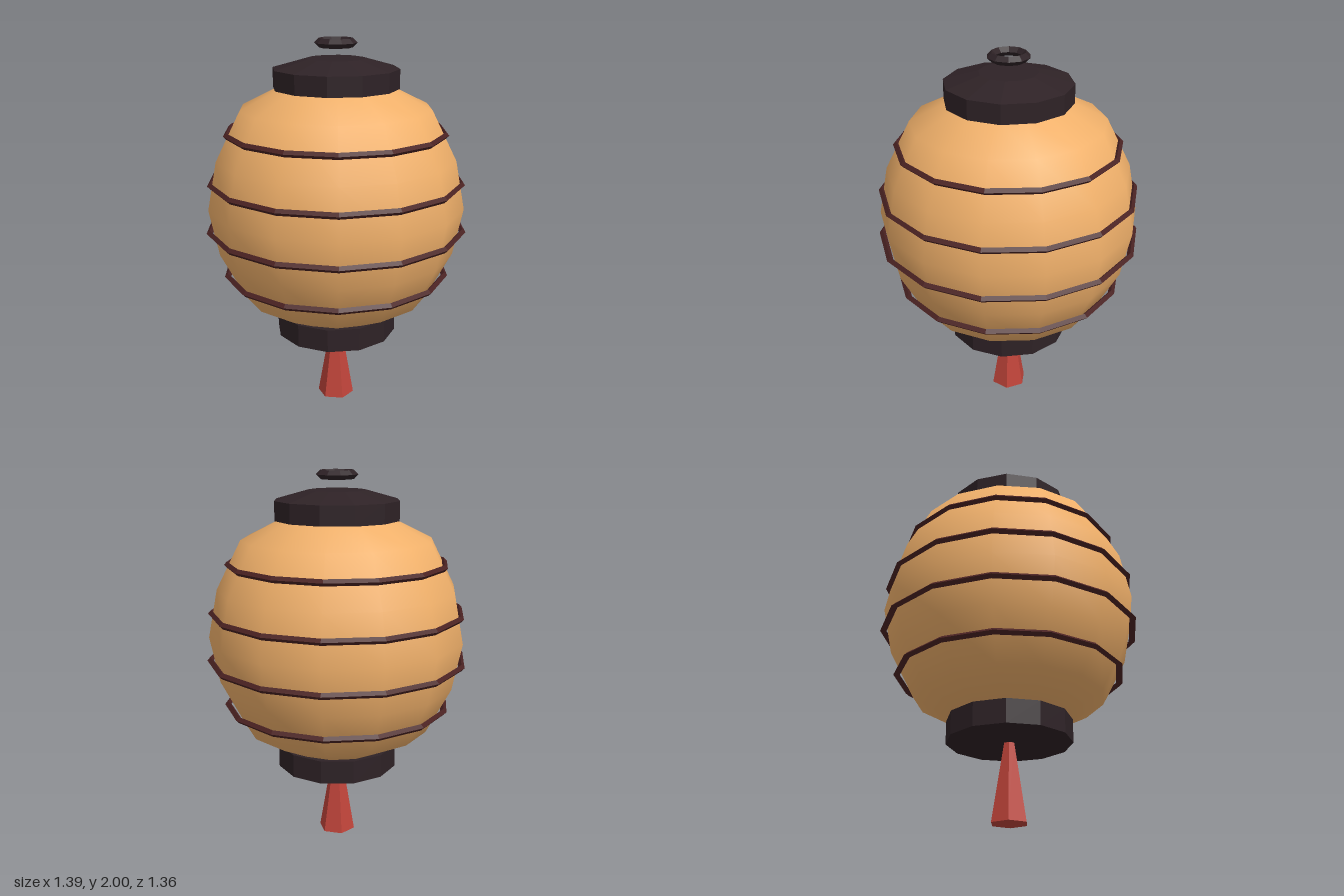
import * as THREE from 'three';

const mat = (color, flatShading = true) => new THREE.MeshStandardMaterial({ color, flatShading });

export function createModel() {
  const model = new THREE.Group();
  const paper = mat(0xf0b06a, false);
  paper.side = THREE.DoubleSide;
  const dark = mat(0x2e2226);
  const rib = mat(0x4a2222);
  const red = mat(0xc0443a);

  const add = (name, geometry, material, y) => {
    const mesh = new THREE.Mesh(geometry, material);
    mesh.name = name;
    mesh.position.y = y;
    model.add(mesh);
    return mesh;
  };
  // Horizontal hoop with a diamond section, given its outer radius
  const hoop = (outer, tube, sides) =>
    new THREE.TorusGeometry(outer - tube, tube, 4, sides).rotateX(Math.PI / 2);

  // Rounded paper shade, 14 sides with corners on the x axis
  const profile = [
    [0.28, 0.525], [0.5, 0.64], [0.63, 0.89], [0.68, 1.14],
    [0.63, 1.395], [0.5, 1.65], [0.28, 1.76],
  ].map(([r, y]) => new THREE.Vector2(r, y));
  add('paperShade', new THREE.LatheGeometry(profile, 14).rotateY(Math.PI / 2), paper, 0);

  // Ribs around the shade: outer radius, height
  [[0.61, 0.765], [0.695, 1.015], [0.68, 1.27], [0.588, 1.525]].forEach(([r, y], i) =>
    add(`rib${i + 1}`, hoop(r, 0.017, 14), rib, y));

  // End caps and the sloping lid
  add('bottomCap', new THREE.CylinderGeometry(0.328, 0.328, 0.125, 12), dark, 0.4725);
  add('topCap', new THREE.CylinderGeometry(0.328, 0.328, 0.1, 12), dark, 1.8);
  add('lid', new THREE.CylinderGeometry(0.15, 0.328, 0.05, 12), dark, 1.875);

  // Hanging ring floating above the lid
  add('hangingRing', hoop(0.11, 0.023, 10), dark, 1.977);

  // Tassel below
  add('tassel', new THREE.CylinderGeometry(0.028, 0.1, 0.42, 6), red, 0.21);

  return model;
}
